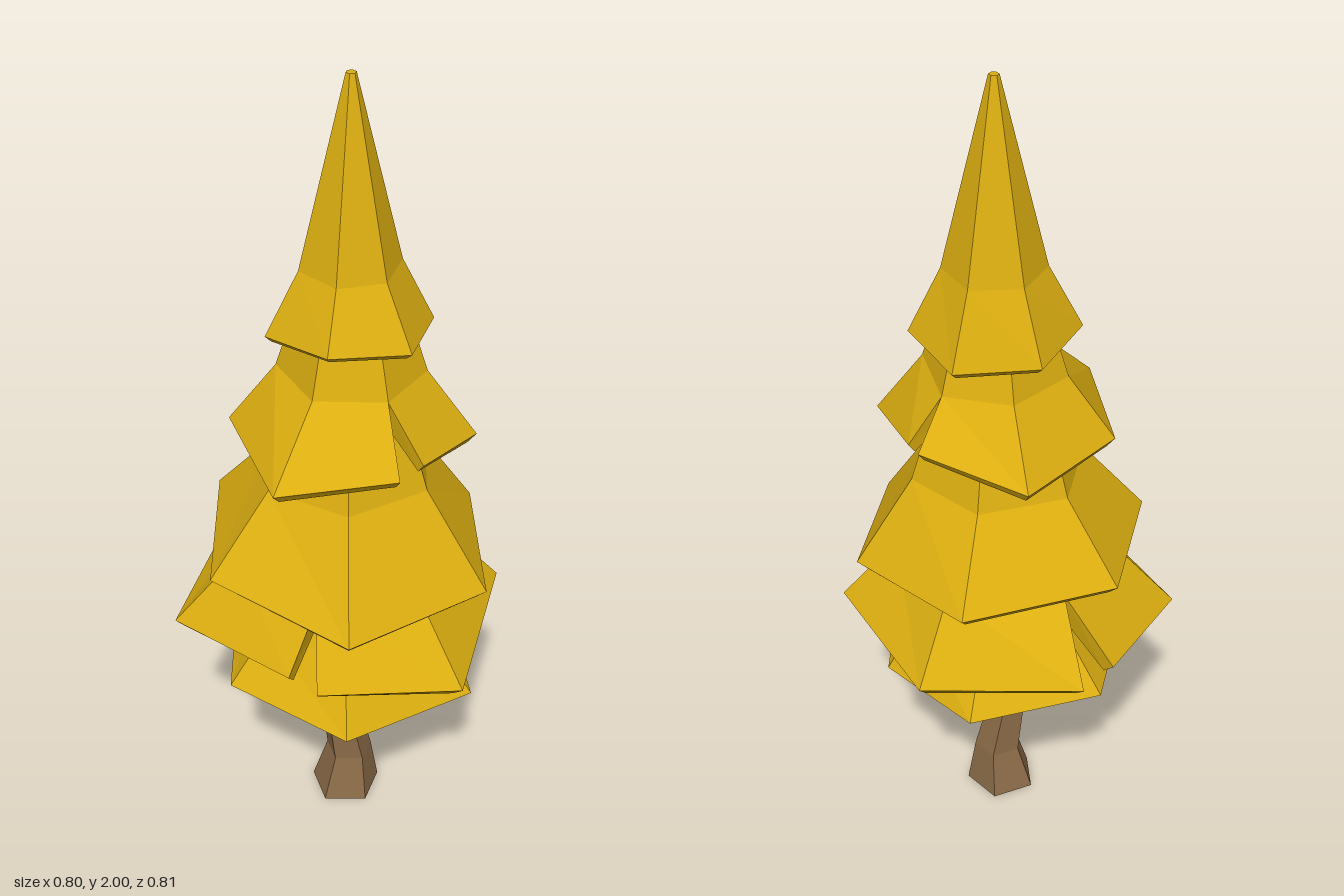
import * as THREE from 'three';

const leafMat = new THREE.MeshStandardMaterial({ color: 0xdcae10 });
leafMat.name = 'golden foliage';
const barkMat = new THREE.MeshStandardMaterial({ color: 0x8b6b48 });
barkMat.name = 'brown bark';

// Collects flat-shaded polygons, split as fans
function facets() {
  const data = [];
  return {
    add(...p) {
      for (let i = 1; i < p.length - 1; i++) data.push(...p[0], ...p[i], ...p[i + 1]);
    },
    mesh(name, material) {
      const geo = new THREE.BufferGeometry();
      geo.setAttribute('position', new THREE.Float32BufferAttribute(data, 3));
      geo.computeVertexNormals();
      const mesh = new THREE.Mesh(geo, material);
      mesh.name = name;
      return mesh;
    },
  };
}

// One skirt of branches. Each rim column is one point, or two where the skirt is slit.
function makeTier({ name, centre, mid, top, inset, drop, rim }) {
  const f = facets();
  const [cx, cz] = centre;
  const cols = rim.map((pts) => {
    const n = pts.length;
    const dx = pts.reduce((s, p) => s + p[0], 0) / n - cx;
    const dz = pts.reduce((s, p) => s + p[2], 0) / n - cz;
    const len = Math.hypot(dx, dz);
    const ring = (r, y) => [cx + (dx / len) * r, y, cz + (dz / len) * r];
    return {
      rim: pts,
      low: pts.map(([x, y, z]) => [cx + (x - cx) * inset, y - drop, cz + (z - cz) * inset]),
      mid: ring(mid[0], mid[1]),
      inner: ring(mid[0] * 0.8, mid[1] - 0.06),
      top: ring(top[0], top[1]),
    };
  });
  const apex = [cx, top[1], cz];
  const under = [cx, mid[1] - 0.02, cz];
  cols.forEach((a, i) => {
    const b = cols[(i + 1) % cols.length];
    const k = a.rim.length - 1;
    f.add(a.mid, a.top, b.top, b.mid);
    f.add(a.rim[k], a.mid, b.mid, b.rim[0]);
    f.add(a.low[k], a.rim[k], b.rim[0], b.low[0]);
    f.add(a.inner, a.low[k], b.low[0], b.inner);
    f.add(under, a.inner, b.inner);
    f.add(a.top, apex, b.top);
    if (k) { // side walls of a slit
      f.add(a.mid, a.inner, a.low[0], a.rim[0]);
      f.add(a.rim[1], a.low[1], a.inner, a.mid);
    }
  });
  return f.mesh(name, leafMat);
}

const tiers = [
  {
    name: 'bottomFoliage', centre: [0.01, 0], mid: [0.22, 0.6], top: [0.14, 0.75], inset: 0.88, drop: 0.03,
    rim: [
      [[0.31, 0.46, -0.03]], [[0.24, 0.44, 0.27]], [[-0.11, 0.43, 0.3]],
      [[-0.31, 0.47, 0.04]], [[-0.18, 0.48, -0.26]], [[0.15, 0.475, -0.29]],
    ],
  },
  {
    name: 'lowerFoliage', centre: [0.01, 0], mid: [0.26, 0.79], top: [0.15, 1.0], inset: 0.92, drop: 0.03,
    rim: [
      [[0.4, 0.63, 0.077]], [[0.144, 0.59, 0.404]],
      [[-0.206, 0.65, 0.347], [-0.247, 0.66, 0.275]],
      [[-0.403, 0.61, -0.088]],
      [[-0.185, 0.64, -0.344], [-0.1, 0.63, -0.403]],
      [[0.27, 0.6, -0.29]],
    ],
  },
  {
    name: 'middleFoliage', centre: [0.02, 0], mid: [0.215, 1.02], top: [0.12, 1.32], inset: 0.93, drop: 0.025,
    rim: [
      [[0.374, 0.81, -0.04]], [[0.247, 0.785, 0.306]], [[-0.127, 0.765, 0.35]],
      [[-0.353, 0.82, 0.05]], [[-0.2, 0.84, -0.3]], [[0.174, 0.83, -0.34]],
    ],
  },
  {
    name: 'upperFoliage', centre: [0.03, 0], mid: [0.175, 1.29], top: [0.1, 1.53], inset: 0.93, drop: 0.025,
    rim: [
      [[0.286, 1.125, 0.144]],
      [[0.086, 1.17, 0.275], [0.017, 1.16, 0.3]],
      [[-0.248, 1.13, 0.204]], [[-0.228, 1.14, -0.127]], [[0.013, 1.13, -0.3]],
      [[0.24, 1.2, -0.19], [0.253, 1.19, -0.133]],
    ],
  },
  {
    name: 'topFoliage', centre: [0.03, -0.01], mid: [0.12, 1.55], top: [0.012, 2.0], inset: 0.92, drop: 0.015,
    rim: [
      [[0.223, 1.39, 0.028]], [[0.095, 1.405, 0.183]], [[-0.09, 1.415, 0.142]],
      [[-0.168, 1.395, -0.035]], [[-0.04, 1.385, -0.19]], [[0.155, 1.375, -0.157]],
    ],
  },
];

// Crooked five-sided trunk, flared at the foot
function makeTrunk() {
  const f = facets();
  const levels = [ // x, y, z, radius
    [0.012, 0, 0.012, 0.09], [0.022, 0.12, 0.012, 0.06],
    [-0.003, 0.26, 0.012, 0.049], [0.003, 0.42, 0.012, 0.042], [0.01, 0.72, 0, 0.035],
  ];
  const rings = levels.map(([x, y, z, r]) => Array.from({ length: 5 }, (_, i) => {
    const a = 0.1 + (i * Math.PI * 2) / 5;
    return [x + r * Math.cos(a), y, z + r * Math.sin(a)];
  }));
  for (let l = 0; l < rings.length - 1; l++) {
    for (let i = 0; i < 5; i++) {
      const j = (i + 1) % 5;
      f.add(rings[l][i], rings[l + 1][i], rings[l + 1][j], rings[l][j]);
    }
  }
  f.add(...rings[0]);
  f.add(...rings[rings.length - 1].slice().reverse());
  return f.mesh('trunk', barkMat);
}

export function createModel() {
  const tree = new THREE.Group();
  tree.name = 'autumnConifer';
  tree.add(makeTrunk(), ...tiers.map(makeTier));
  return tree;
}
